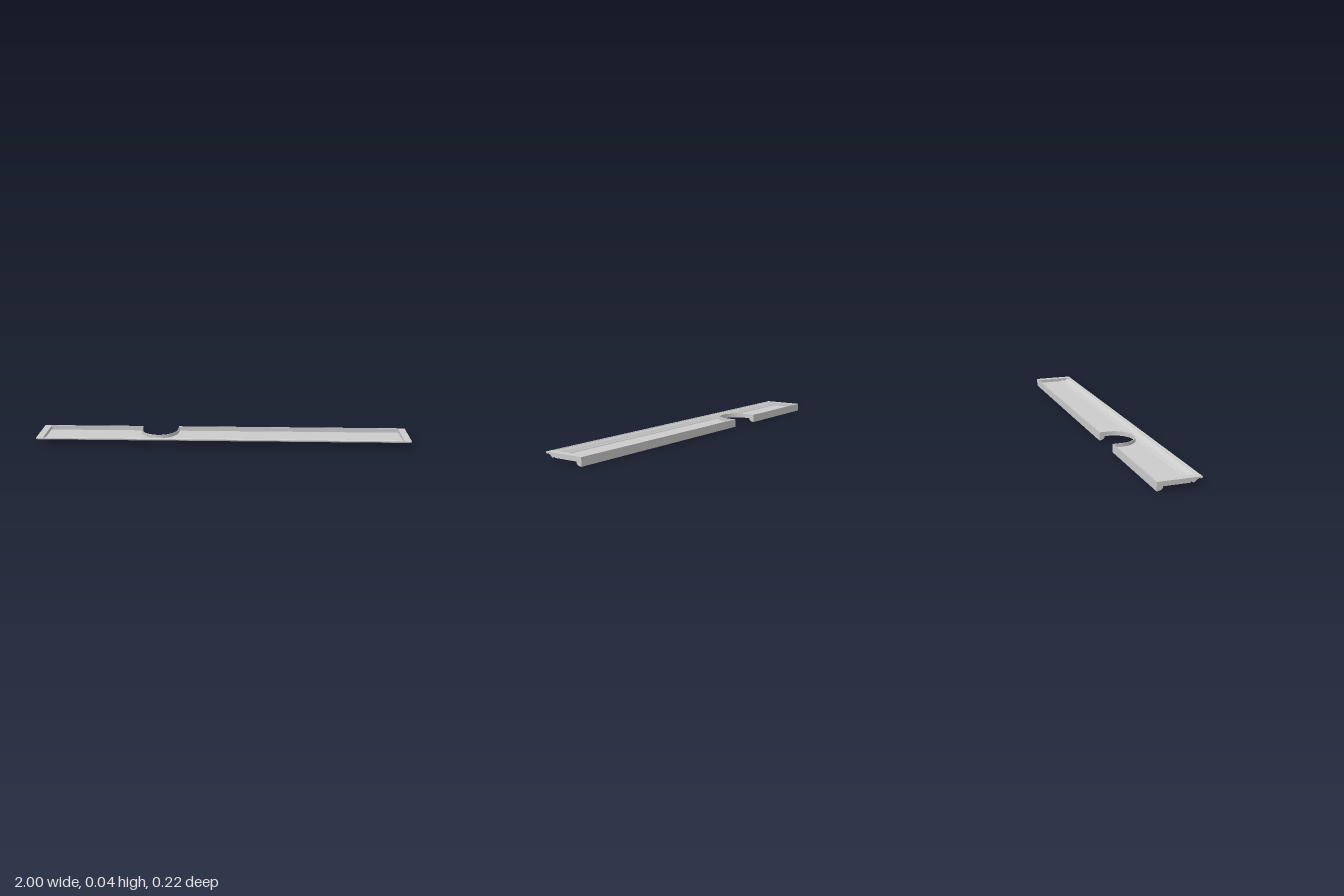
import * as THREE from 'three';

const TOP = 0.043, FLOOR = 0.02, T = 0.005, BACK = -0.108;
const CUT = { x: -0.35, z: -0.06, r: 0.1 };
const END = 0.963;

const material = new THREE.MeshStandardMaterial({ color: 0xcccccc, flatShading: true, side: THREE.DoubleSide });

function add(group, name, geometry) {
  const mesh = new THREE.Mesh(geometry, material);
  mesh.name = name;
  group.add(mesh);
}

// Extrudes a closed [z, y] profile along x
function alongX(points, x0, x1) {
  const shape = new THREE.Shape(points.map(([z, y]) => new THREE.Vector2(-z, y)));
  return new THREE.ExtrudeGeometry(shape, { depth: x1 - x0, bevelEnabled: false })
    .rotateY(Math.PI / 2).translate(x0, 0, 0);
}

// Extrudes a plan [x, z] outline upwards
function upright(points, y0, y1) {
  const shape = new THREE.Shape(points.map(([x, z]) => new THREE.Vector2(x, -z)));
  return new THREE.ExtrudeGeometry(shape, { depth: y1 - y0, bevelEnabled: false })
    .rotateX(-Math.PI / 2).translate(0, y0, 0);
}

// U-shaped line round the notch, from the right arm at zStart to the left
function notchLine(r, zStart) {
  const line = [[CUT.x + r, zStart]];
  for (let i = 0; i <= 24; i++) {
    const a = Math.PI * i / 24;
    line.push([CUT.x + r * Math.cos(a), CUT.z + r * Math.sin(a)]);
  }
  line.push([CUT.x - r, zStart]);
  return line;
}

export function createModel() {
  const group = new THREE.Group();
  group.name = 'mouldedTray';

  // Undersides of the front moulding and the rear channel
  const frontUnder = [[0.05, FLOOR], [0.052, 0.024], [0.055, 0.026], [0.058, 0.022], [0.064, FLOOR],
    [0.07, 0.021], [0.076, 0.026], [0.084, 0.032], [0.092, 0.036], [0.1, 0.034], [0.106, 0.036], [0.108, 0.038]];
  const rearUnder = [[BACK, 0], [-0.096, 0.001], [-0.088, 0.004], [-0.081, 0.01], [-0.079, 0.013], [-0.078, FLOOR]];

  // Front moulding: thin band that follows its underside
  const frontTop = [[0.108, TOP], [0.103, TOP], [0.1, 0.039], [0.091, 0.04], [0.082, 0.036], [0.074, 0.03],
    [0.068, 0.025], [0.062, 0.025], [0.056, 0.031], [0.05, 0.03], [0.046, 0.025]];
  add(group, 'frontMoulding', alongX([[0.046, FLOOR], ...frontUnder, ...frontTop], -END, END));

  // Floor with the round notch
  const zBack = -0.08;
  add(group, 'floor', upright([[-END, zBack], [-END, 0.048], [END, 0.048], [END, zBack],
    ...notchLine(CUT.r, zBack)], FLOOR, FLOOR + T));

  // Rear wall and channel on both sides of the notch
  const rear = [...rearUnder, [-0.078, FLOOR + T], [-0.084, FLOOR + T], [-0.085, 0.014],
    [-0.092, 0.008], [-0.105, 0.005], [-0.105, TOP], [BACK, TOP]];
  const spans = [[-END, CUT.x - CUT.r], [CUT.x + CUT.r, END]];
  for (const [x0, x1] of spans) add(group, 'rearWall', alongX(rear, x0, x1));

  // Upright rim round the notch, and plates closing the channel there
  add(group, 'notchRim', upright([...notchLine(CUT.r, BACK),
    ...notchLine(CUT.r + 0.004, BACK).reverse()], FLOOR, TOP));
  const plate = [...rearUnder, [-0.078, TOP], [BACK, TOP]];
  for (const x of [CUT.x - CUT.r - 0.004, CUT.x + CUT.r]) {
    add(group, 'channelEnd', alongX(plate, x, x + 0.004));
  }

  // Solid end blocks with the full section
  const section = [...rearUnder, ...frontUnder, [0.108, TOP], [BACK, TOP]];
  for (const [x0, x1] of [[-1, -END], [END, 1]]) add(group, 'endBlock', alongX(section, x0, x1));

  return group;
}
